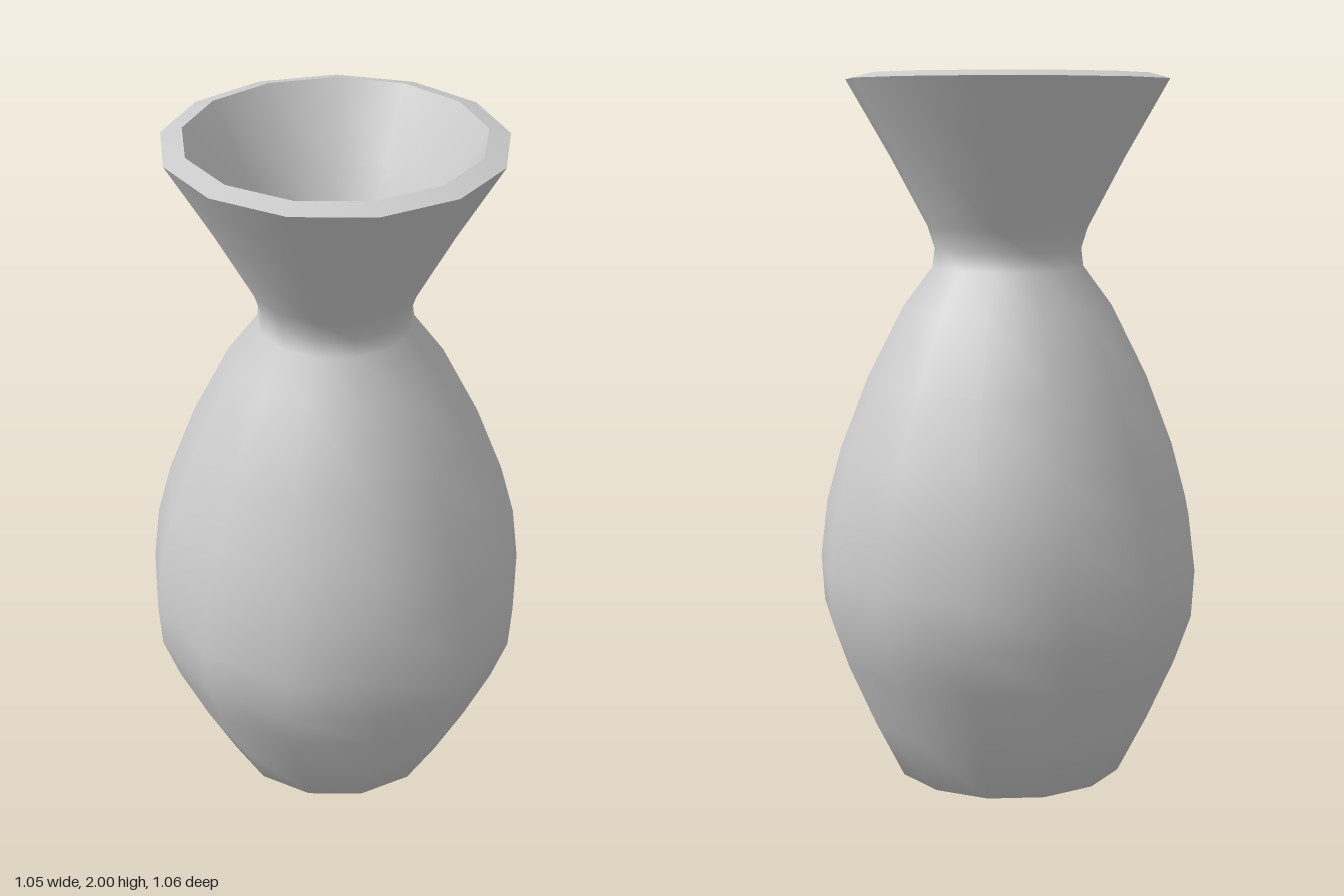
import * as THREE from 'three';

const SIDES = 13;

export function createModel() {
  const vase = new THREE.Group();
  vase.name = 'vase';
  const material = new THREE.MeshStandardMaterial({ color: 0xcccccc });

  // Revolves a profile of [radius, height] points, with a corner on +x
  function turned(name, profile) {
    const points = profile.map(([r, y]) => new THREE.Vector2(r, y));
    const mesh = new THREE.Mesh(new THREE.LatheGeometry(points, SIDES, Math.PI / 2), material);
    mesh.name = name;
    mesh.position.x = -0.008; // an odd number of sides sits slightly off centre
    vase.add(mesh);
  }

  // Outer wall, from the slightly pointed base up to the flared mouth
  turned('outerWall', [
    [0, 0], [0.22, 0.03], [0.322, 0.065],
    [0.405, 0.23], [0.48, 0.4], [0.525, 0.53], [0.533, 0.66],
    [0.513, 0.82], [0.472, 0.97], [0.394, 1.17], [0.292, 1.37],
    [0.21, 1.48], [0.204, 1.53], [0.223, 1.59], [0.325, 1.78], [0.444, 1.985],
  ]);

  // Rim, rising a little towards the opening
  turned('rim', [[0.444, 1.985], [0.388, 2]]);

  // Inner wall, from the mouth through the neck down to the floor
  turned('innerWall', [
    [0.388, 2], [0.28, 1.8], [0.195, 1.61], [0.179, 1.53], [0.184, 1.47],
    [0.262, 1.35], [0.362, 1.15], [0.438, 0.96], [0.478, 0.81],
    [0.498, 0.66], [0.49, 0.54], [0.447, 0.41], [0.375, 0.25],
    [0.3, 0.1], [0.21, 0.07], [0, 0.04],
  ]);

  return vase;
}
